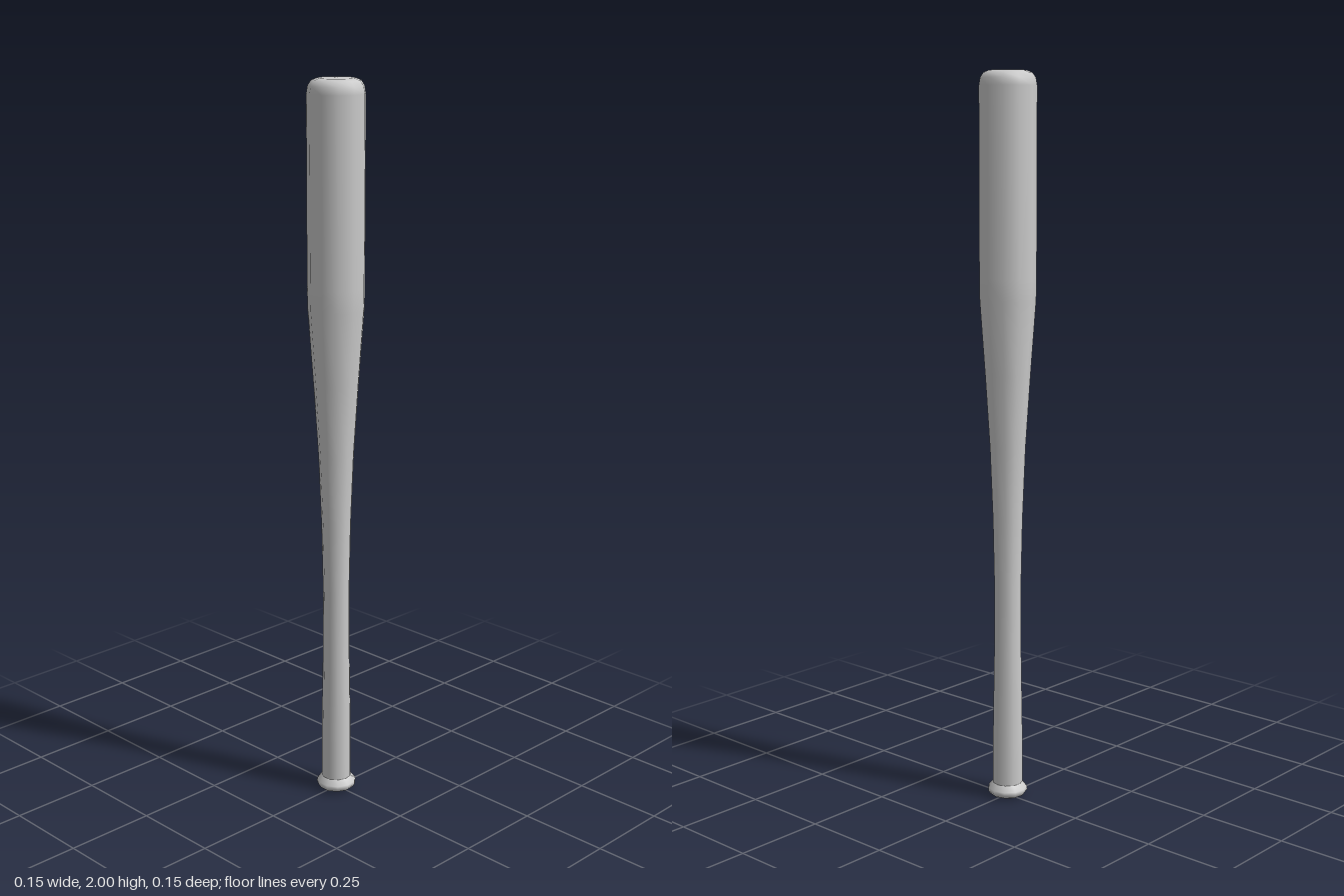
import * as THREE from 'three';

const SIDES = 11;

export function createModel() {
  const group = new THREE.Group();
  group.name = 'bat';
  const material = new THREE.MeshStandardMaterial({ color: 0xcccccc });

  // Turned part from [radius, height] pairs, listed bottom to top, one corner towards +x
  const turned = (name, profile) => {
    const points = profile.map(([r, y]) => new THREE.Vector2(r, y));
    const mesh = new THREE.Mesh(new THREE.LatheGeometry(points, SIDES, Math.PI / 2), material);
    mesh.name = name;
    mesh.position.x = -0.0016; // centres the odd-sided outline
    group.add(mesh);
  };

  // Flared knob at the grip end
  turned('knob', [
    [0, 0], [0.036, 0.001], [0.049, 0.007], [0.056, 0.016], [0.055, 0.025], [0.042, 0.04],
  ]);

  // Grip, taper and barrel with a rounded tip
  turned('handleAndBarrel', [
    [0.042, 0.04], [0.0415, 0.2], [0.038, 0.42], [0.037, 0.6], [0.041, 0.8],
    [0.049, 1.0], [0.062, 1.2], [0.0765, 1.4], [0.0776, 1.46], [0.0776, 1.96],
    [0.074, 1.98], [0.065, 1.993], [0.05, 1.999], [0, 2],
  ]);

  return group;
}
